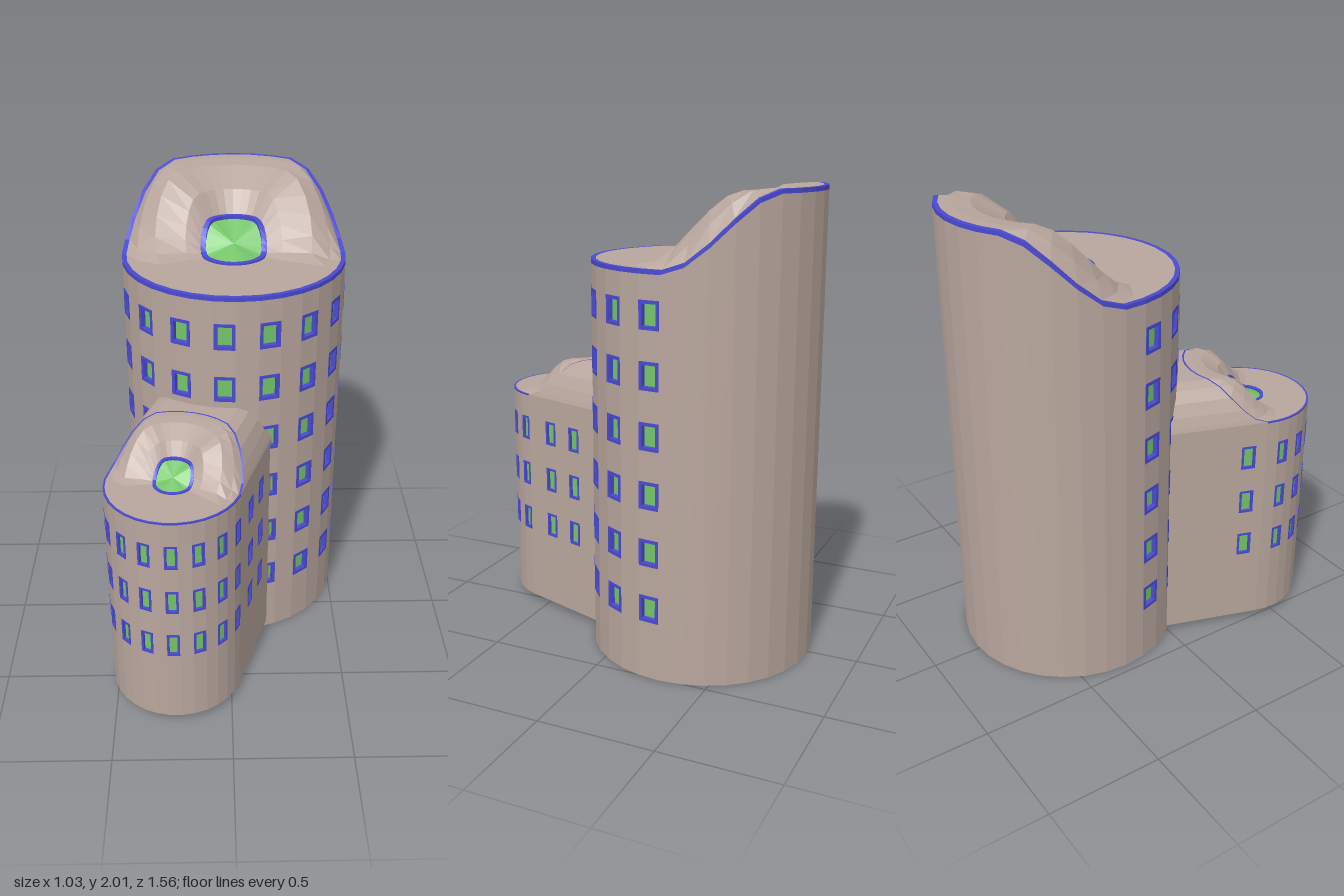
import * as THREE from 'three';

const mat = (color) => new THREE.MeshStandardMaterial({ color, flatShading: true, roughness: 0.9, side: THREE.DoubleSide });
const WALL = mat(0xb8a69d), TRIM = mat(0x4a4ad2), GLASS = mat(0x74c46a);
const STEP = Math.PI / 16; // 32 facets per turn
const DEG = Math.PI / 180;

function add(parent, name, geometry, material) {
  const mesh = new THREE.Mesh(geometry, material);
  mesh.name = name;
  parent.add(mesh);
  return mesh;
}

// Skin through a list of equally long point rows
function loft(rows) {
  const pos = [];
  const tri = (...pts) => pts.forEach((p) => pos.push(p.x, p.y, p.z));
  for (let j = 0; j + 1 < rows.length; j++) {
    const a = rows[j], b = rows[j + 1];
    for (let i = 0; i + 1 < a.length; i++) {
      if (a[i].distanceTo(a[i + 1]) > 1e-6) tri(a[i], a[i + 1], b[i + 1]);
      if (b[i].distanceTo(b[i + 1]) > 1e-6) tri(a[i], b[i + 1], b[i]);
    }
  }
  const g = new THREE.BufferGeometry();
  g.setAttribute('position', new THREE.Float32BufferAttribute(pos, 3));
  g.computeVertexNormals();
  return g;
}

function rect(target, x, y, w, h) {
  target.moveTo(x - w / 2, y - h / 2);
  target.lineTo(x + w / 2, y - h / 2);
  target.lineTo(x + w / 2, y + h / 2);
  target.lineTo(x - w / 2, y + h / 2);
  target.closePath();
  return target;
}

// Flat wall with recessed, framed windows; origin at bottom centre, facing +z
function windowWall(width, height, cols, rows, win) {
  const g = new THREE.Group();
  g.name = 'windowWall';
  const wall = rect(new THREE.Shape(), 0, height / 2, width, height);
  const frame = rect(new THREE.Shape(), 0, 0, win.w, win.h);
  const iw = win.w - 2 * win.t, ih = win.h - 2 * win.t;
  frame.holes.push(rect(new THREE.Path(), 0, 0, iw, ih));
  const frameGeo = new THREE.ExtrudeGeometry(frame, { depth: win.d, bevelEnabled: false });
  const glassGeo = new THREE.PlaneGeometry(iw, ih);
  for (const x of cols) for (const y of rows) {
    wall.holes.push(rect(new THREE.Path(), x, y, win.w, win.h));
    add(g, 'windowFrame', frameGeo, TRIM).position.set(x, y, 0.002 - win.d);
    add(g, 'windowGlass', glassGeo, GLASS).position.set(x, y, 0.004 - win.d);
  }
  add(g, 'wall', new THREE.ShapeGeometry(wall), WALL);
  return g;
}

// Roof rings: radius, rise at the back, angles where the rise starts and ends
const ROOF = [
  [0.42, 0.3, 79, 140], [0.34, 0.29, 67, 135],
  [0.21, 0.22, 67, 135], [0.145, 0.12, 67, 135],
];
const EDGE = [0.487, 0.3, 90, 146.25];

// Round tower with a swept-up roof; k scales it, corridor extends it backwards
function tower({ k, rimWidth, band, rows, win, corridor = 0, rightCols, leftCols }) {
  const g = new THREE.Group();
  const R = EDGE[0] * k, base = 1.705 * k;
  const rise = ([, amount, from, to], a) =>
    amount * k * THREE.MathUtils.smoothstep(Math.abs(a) / DEG, from, to);
  const ring = (spec, r, dy = 0, from = -16, to = 16) => {
    const pts = [];
    for (let i = from; i <= to; i++) {
      const a = i * STEP, wrapped = i > 16 ? a - 2 * Math.PI : a;
      pts.push(new THREE.Vector3(r * Math.sin(a), base + rise(spec, wrapped) + dy, r * Math.cos(a)));
    }
    return pts;
  };
  const floorOf = (pts) => pts.map((p) => new THREE.Vector3(p.x, 0, p.z));

  // Facets: every second one at the front carries windows
  const half = corridor ? 8 : 16;
  for (let i = -half; i < half; i++) {
    if (Math.abs(i) % 2 === 1 && Math.abs(i) <= 7) {
      const a = (i + 0.5) * STEP;
      const panel = windowWall(2 * R * Math.sin(STEP / 2), base - band, [0], rows, win);
      const d = R * Math.cos(STEP / 2);
      panel.position.set(d * Math.sin(a), 0, d * Math.cos(a));
      panel.rotation.y = a;
      g.add(panel);
    } else {
      const top = ring(EDGE, R, -band, i, i + 1);
      add(g, 'wallFacet', loft([floorOf(top), top]), WALL);
    }
  }

  // Rim, roof bowl and skylight
  const inner = R - rimWidth;
  add(g, 'roofRim', loft([ring(EDGE, R, -band), ring(EDGE, R), ring(EDGE, inner)]), TRIM);
  add(g, 'roof', loft([ring(EDGE, inner), ...ROOF.map((s) => ring(s, s[0] * k))]), WALL);
  const sky = ROOF[3], ro = sky[0] * k, ri = 0.122 * k, up = 0.008 * k;
  const seat = ring(sky, ri, -up);
  add(g, 'skylightFrame', loft([ring(sky, ro), ring(sky, ro, up), ring(sky, ri, up), seat]), TRIM);
  const mid = new THREE.Vector3(0, base + 0.045 * k, 0);
  add(g, 'skylightGlass', loft([seat, seat.map(() => mid)]), GLASS);

  // Corridor: roof continues the raised back edge, straight walls at the sides
  const foot = floorOf(ring(EDGE, R, 0, -half, half));
  if (corridor) {
    const edge = ring(EDGE, R, 0, 8, 24);
    const far = edge.map((p) => new THREE.Vector3(p.x, p.y, -corridor));
    add(g, 'corridorRoof', loft([far, edge]), WALL);
    for (const side of [1, -1]) {
      const cols = (side > 0 ? rightCols : leftCols).map((s) => side * (s - corridor / 2));
      const wall = windowWall(corridor, base, cols, rows, { ...win, w: win.w * 1.2 });
      wall.position.set(side * R, 0, -corridor / 2);
      wall.rotation.y = side * Math.PI / 2;
      g.add(wall);
    }
    foot.push(new THREE.Vector3(R, 0, -corridor), new THREE.Vector3(-R, 0, -corridor), foot[0].clone());
  }
  add(g, 'floor', loft([foot.map(() => new THREE.Vector3()), foot]), WALL);
  return g;
}

export function createModel() {
  const model = new THREE.Group();
  model.name = 'twinTowerBuilding';

  const main = tower({
    k: 1, rimWidth: 0.02, band: 0.018,
    rows: [0.31, 0.555, 0.8, 1.045, 1.29, 1.53],
    win: { w: 0.09, h: 0.116, t: 0.014, d: 0.024 },
  });
  main.name = 'mainTower';
  main.position.set(0.025, 0, -0.295);
  model.add(main);

  // Smaller tower turned away from the main one, joined by its corridor
  const annex = tower({
    k: 0.585, rimWidth: 0.008, band: 0.006,
    rows: [0.39, 0.612, 0.835],
    win: { w: 0.053, h: 0.11, t: 0.01, d: 0.014 },
    corridor: 0.52, rightCols: [0.147, 0.3], leftCols: [0.08],
  });
  annex.name = 'annexTower';
  annex.position.set(-0.235, 0.03, 0.495);
  annex.rotation.y = -18.3 * DEG;
  model.add(annex);
  return model;
}
